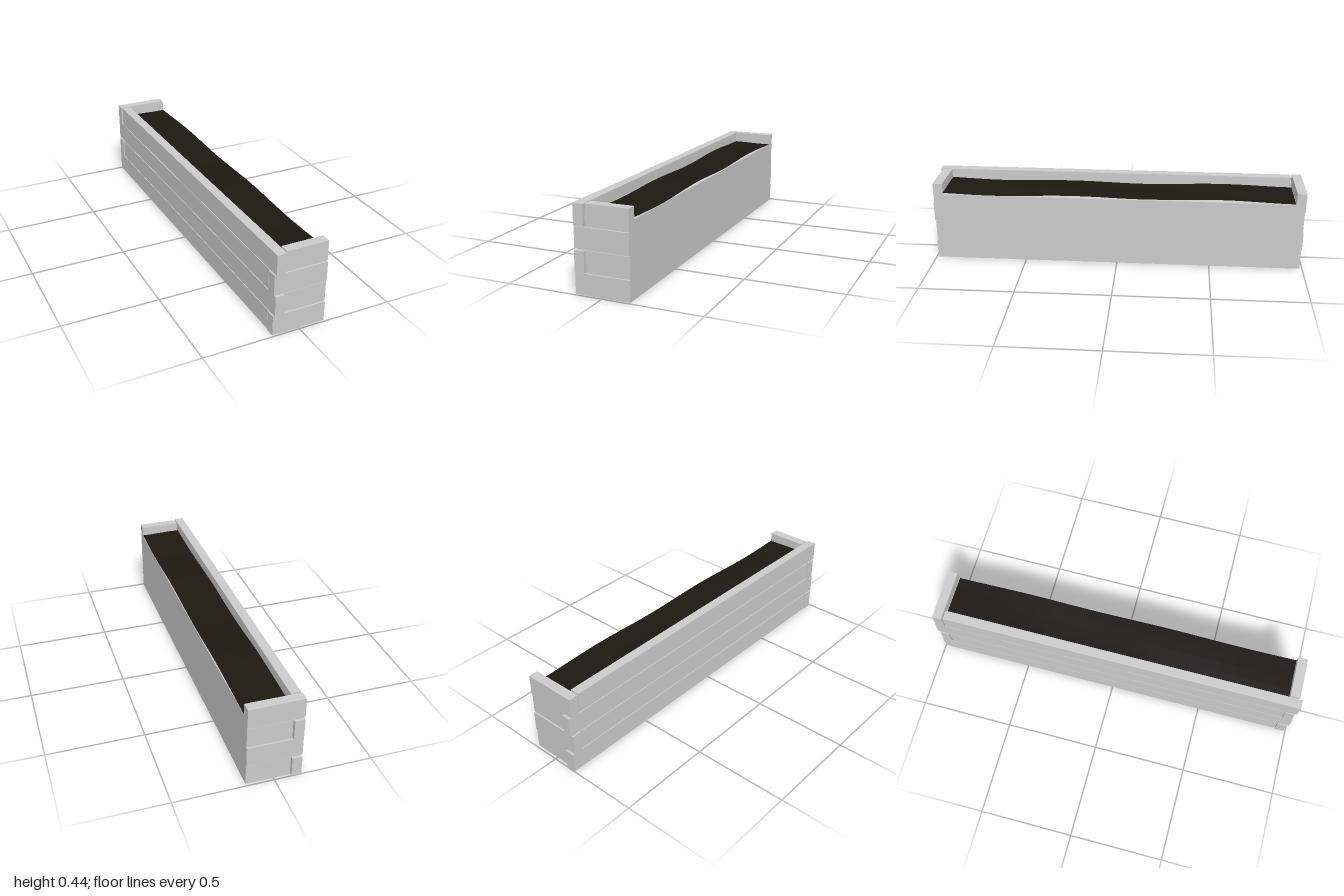
import * as THREE from 'three';

const grey = new THREE.MeshStandardMaterial({ color: 0xcccccc, flatShading: true });
const dark = new THREE.MeshStandardMaterial({ color: 0x1c1812, flatShading: true, side: THREE.DoubleSide });

// Box given by its two extreme corners
function block(name, x0, x1, y0, y1, z0, z1) {
  const mesh = new THREE.Mesh(new THREE.BoxGeometry(x1 - x0, y1 - y0, z1 - z0), grey);
  mesh.position.set((x0 + x1) / 2, (y0 + y1) / 2, (z0 + z1) / 2);
  mesh.name = name;
  return mesh;
}

// One layer of sleepers; dir = 1 runs the long one through the front end
function course(y0, y1, dir) {
  const group = new THREE.Group();
  const add = (name, x0, x1, za, zb) =>
    group.add(block(name, x0, x1, y0, y1, Math.min(za * dir, zb * dir), Math.max(za * dir, zb * dir)));
  add('longSleeper', -0.136, -0.086, -0.931, 1);
  add('shortEndSleeper', -0.08, 0.139, 0.935, 0.986);
  add('fullEndSleeper', -0.14, 0.139, -0.99, -0.94);
  return group;
}

export function createModel() {
  const model = new THREE.Group();
  model.name = 'raisedPlanter';

  // Inner body, showing as the recessed joints and the plain long side
  model.add(block('body', -0.13, 0.139, 0, 0.374, -0.981, 0.981));

  // Four staggered courses
  for (let i = 0; i < 4; i++) {
    const y = i * 0.11;
    const layer = course(y, y + 0.105, i % 2 ? 1 : -1);
    layer.name = `course${i + 1}`;
    model.add(layer);
  }

  // Gently uneven soil surface
  const soilGeometry = new THREE.PlaneGeometry(0.225, 1.875, 4, 24).rotateX(-Math.PI / 2);
  const p = soilGeometry.attributes.position;
  for (let i = 0; i < p.count; i++) {
    const z = p.getZ(i);
    p.setY(i, 0.005 * (1 + Math.cos((z - 0.25) * Math.PI * 2 / 0.8)) + 0.002 * Math.sin(p.getX(i) * 20 + z * 3));
  }
  soilGeometry.computeVertexNormals();
  const soil = new THREE.Mesh(soilGeometry, dark);
  soil.name = 'soil';
  soil.position.set(0.0265, 0.3775, 0);
  model.add(soil);

  return model;
}
